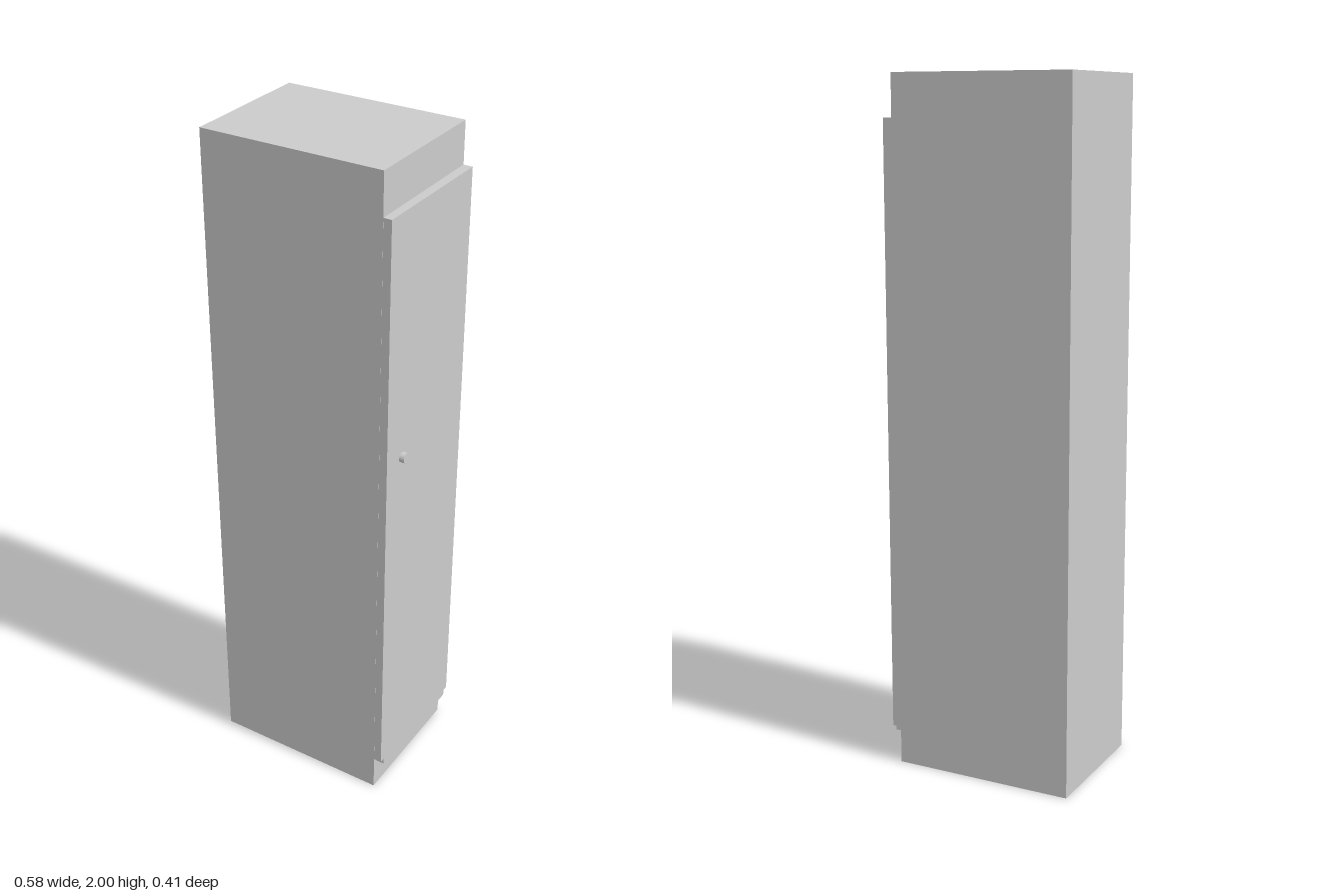
import * as THREE from 'three';

const material = new THREE.MeshStandardMaterial({ color: 0xcccccc });

function part(name, geometry, x = 0, y = 0, z = 0) {
  const mesh = new THREE.Mesh(geometry, material);
  mesh.name = name;
  mesh.position.set(x, y, z);
  return mesh;
}

export function createModel() {
  const group = new THREE.Group();
  group.name = 'cabinet';

  // Tall plain carcass
  group.add(part('cabinetBody', new THREE.BoxGeometry(0.54, 2, 0.405), -0.02, 1, 0));

  // Door panel on the +x side, with its two lower corners notched
  const bottom = 0.09, notch = 0.11, top = 1.88, half = 0.202, inner = 0.185;
  const outline = new THREE.Shape([
    [-inner, bottom], [inner, bottom], [inner, notch], [half, notch],
    [half, top], [-half, top], [-half, notch], [-inner, notch],
  ].map(([u, v]) => new THREE.Vector2(u, v)));
  const door = new THREE.ExtrudeGeometry(outline, { depth: 0.025, bevelEnabled: false });
  door.rotateY(Math.PI / 2);
  // The outer face leans out very slightly towards the back
  const pos = door.attributes.position;
  for (let i = 0; i < pos.count; i++) {
    if (pos.getX(i) > 0.01) pos.setX(i, 0.0255 - 0.008 * pos.getZ(i));
  }
  door.computeVertexNormals();
  group.add(part('door', door, 0.25, 0, 0));

  // Small round door knob
  const knob = new THREE.CylinderGeometry(0.015, 0.015, 0.015, 24);
  knob.rotateZ(-Math.PI / 2);
  group.add(part('doorKnob', knob, 0.2815, 1.168, 0.124));

  return group;
}
